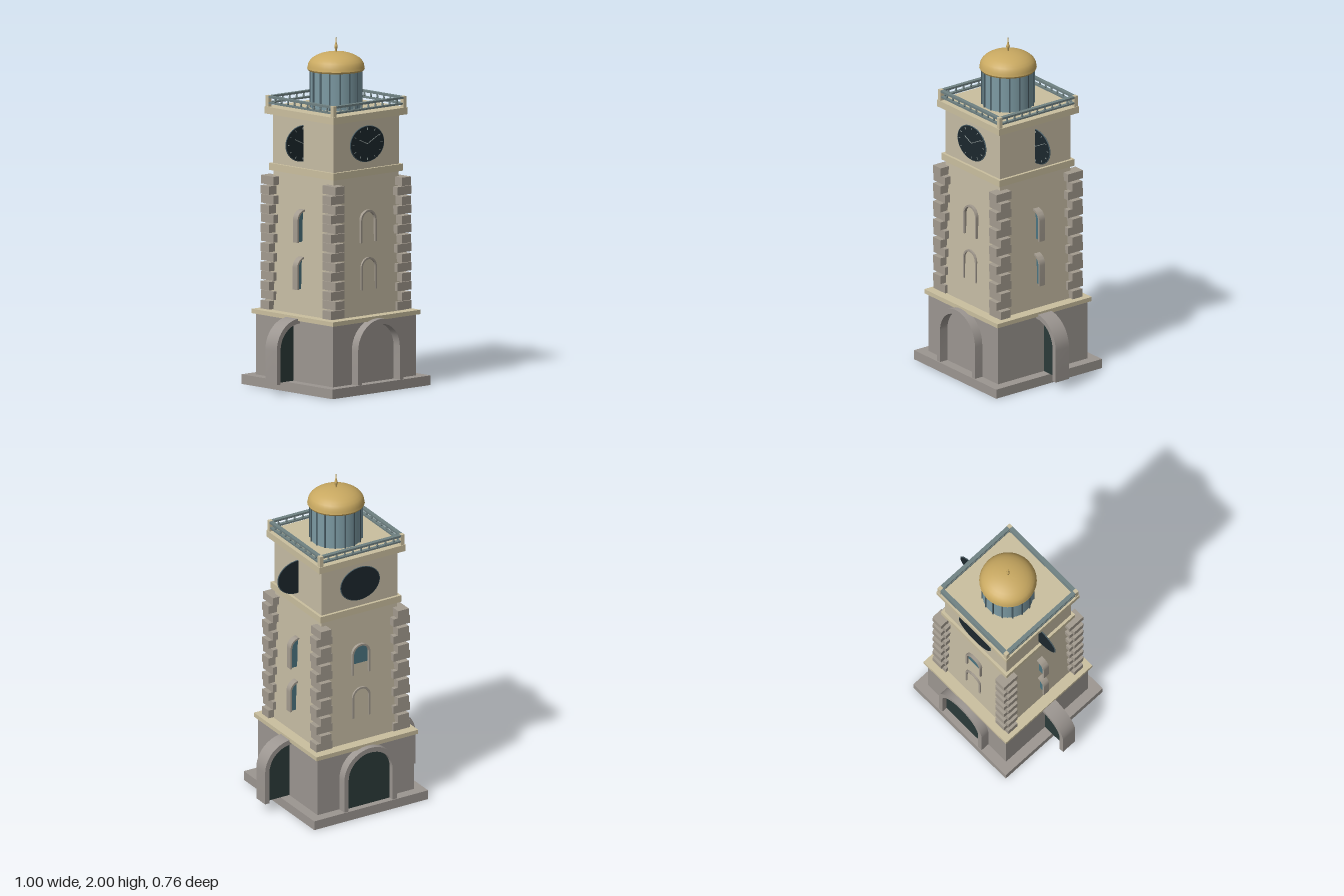
import * as THREE from 'three';
import { toCreasedNormals } from 'three/addons/utils/BufferGeometryUtils.js';

const mat = (color, side = THREE.FrontSide) => new THREE.MeshStandardMaterial({ color, side });
const MAT = {
  base: mat(0x9c9691), wall: mat(0xc6bca4), trim: mat(0xcabf9f), quoin: mat(0xa39b8f),
  rail: mat(0x6f8182), gold: mat(0xc9a961), glass: mat(0x7d9ba4), rib: mat(0x4c6068),
  dial: mat(0x1c272d), door: mat(0x2b3a39), pane: mat(0x4b7480), mark: mat(0x8f9a98),
};

export function createModel() {
  const root = new THREE.Group();
  root.name = 'clockTower';

  const add = (parent, name, geo, material, x = 0, y = 0, z = 0) => {
    const m = new THREE.Mesh(geo, material);
    m.name = name;
    m.position.set(x, y, z);
    parent.add(m);
    return m;
  };
  const group = (parent, name, x = 0, y = 0, z = 0) => {
    const g = new THREE.Group();
    g.name = name;
    g.position.set(x, y, z);
    parent.add(g);
    return g;
  };
  // Square slab given half width and y range
  const slab = (name, half, y0, y1, material) =>
    add(root, name, new THREE.BoxGeometry(half * 2, y1 - y0, half * 2), material, 0, (y0 + y1) / 2, 0);
  const lathe = (pts, seg) =>
    toCreasedNormals(new THREE.LatheGeometry(pts.map(p => new THREE.Vector2(...p)), seg), 0.6);

  // Stacked square masses
  slab('plinth', 0.378, 0, 0.055, MAT.base);
  slab('baseBlock', 0.32, 0.055, 0.41, MAT.base);
  slab('baseCornice', 0.337, 0.405, 0.43, MAT.trim);
  slab('belt', 0.268, 1.225, 1.265, MAT.trim);
  slab('clockStage', 0.252, 1.265, 1.55, MAT.wall);
  slab('topCornice', 0.286, 1.548, 1.588, MAT.trim);

  // Shaft, slightly narrower toward the top
  const shaft = new THREE.CylinderGeometry(0.25 * Math.SQRT2, 0.275 * Math.SQRT2, 0.8, 4, 1).rotateY(Math.PI / 4);
  add(root, 'shaft', toCreasedNormals(shaft, 0.3), MAT.wall, 0, 0.828, 0);

  // Corner quoins, alternating direction row by row
  const quoins = group(root, 'quoins');
  const quoinX = new THREE.BoxGeometry(0.107, 0.048, 0.07);
  const quoinZ = new THREE.BoxGeometry(0.07, 0.048, 0.107);
  for (const sx of [-1, 1]) for (const sz of [-1, 1]) for (let i = 0; i < 14; i++)
    add(quoins, 'quoin', i % 2 ? quoinZ : quoinX, MAT.quoin, sx * 0.2565, 0.459 + i * 0.0547, sz * 0.2565);

  // Arch outline: straight jambs and an elliptical head, foot at y = 0
  const archPoints = (rx, ry, spring) => {
    const pts = [new THREE.Vector2(rx, 0)];
    for (let i = 0; i <= 20; i++) {
      const a = Math.PI * i / 20;
      pts.push(new THREE.Vector2(rx * Math.cos(a), spring + ry * Math.sin(a)));
    }
    pts.push(new THREE.Vector2(-rx, 0));
    return pts;
  };
  const extrude = (pts, depth) => toCreasedNormals(
    new THREE.ExtrudeGeometry(new THREE.Shape(pts), { depth, bevelEnabled: false }).translate(0, 0, -depth / 2), 0.5);
  const archParts = (rx, ry, spring, band, depth, panelDepth) => ({
    frame: extrude([...archPoints(rx, ry, spring), ...archPoints(rx - band, ry - band, spring).reverse()], depth),
    panel: extrude(archPoints(rx - band, ry - band, spring), panelDepth),
  });

  // All arches and dials share one orientation on the four sides
  const sides = d => [[0, d], [0, -d], [d, 0], [-d, 0]];

  const doorGeo = archParts(0.175, 0.17, 0.19 + 0.003, 0.029, 0.095, 0.008);
  for (const [x, z] of sides(0.325)) {
    const door = group(root, 'doorway', x, 0.055, z);
    add(door, 'doorFrame', doorGeo.frame, MAT.base);
    add(door, 'doorPanel', doorGeo.panel, MAT.door, 0, 0, -0.012);
  }

  const windowGeo = archParts(0.06, 0.06, 0.125, 0.011, 0.04, 0.008);
  for (const [y, d] of [[0.575, 0.256], [0.845, 0.25 + 0.004]]) for (const [x, z] of sides(d)) {
    const win = group(root, 'window', x, y, z);
    add(win, 'windowFrame', windowGeo.frame, MAT.quoin);
    add(win, 'windowPane', windowGeo.panel, MAT.pane, 0, 0, -0.002);
  }

  // Oval clocks with ring, hour marks and hands
  const dialGeo = new THREE.CylinderGeometry(0.1, 0.1, 0.006, 40).rotateX(Math.PI / 2);
  const ringGeo = new THREE.TorusGeometry(0.1, 0.004, 6, 40);
  const hand = (parent, name, length, width, angle, start = 0) => {
    const geo = new THREE.BoxGeometry(width, length, 0.002).translate(0, start + length / 2, 0);
    add(parent, name, geo, MAT.mark, 0, 0, 0.0045).rotation.z = angle;
  };
  for (const [x, z] of sides(0.258)) {
    const clock = group(root, 'clock', x, 1.407, z);
    clock.scale.set(1.27, 1, 1);
    add(clock, 'clockDial', dialGeo, MAT.dial);
    add(clock, 'clockRing', ringGeo, MAT.rib).scale.z = 0.8;
    for (let i = 0; i < 12; i++) hand(clock, 'hourMark', 0.012, 0.003, i * Math.PI / 6, 0.08);
    hand(clock, 'hourHand', 0.055, 0.004, 1.05);
    hand(clock, 'minuteHand', 0.08, 0.003, -1.0);
  }

  // Balustrade around the roof deck
  const balustrade = group(root, 'balustrade');
  const baluster = lathe([[0.004, 0], [0.007, 0.007], [0.004, 0.018], [0.006, 0.027]], 8);
  for (let s = 0; s < 4; s++) {
    const run = group(balustrade, 'railSide');
    run.rotation.y = s * Math.PI / 2;
    add(run, 'bottomRail', new THREE.BoxGeometry(0.54, 0.01, 0.02), MAT.rail, 0, 1.61, 0.269);
    add(run, 'topRail', new THREE.BoxGeometry(0.54, 0.012, 0.024), MAT.rail, 0, 1.644, 0.269);
    add(run, 'cornerPost', new THREE.BoxGeometry(0.023, 0.064, 0.023), MAT.trim, 0.27, 1.62, 0.27);
    for (let i = 1; i < 10; i++) add(run, 'baluster', baluster, MAT.rail, -0.27 + i * 0.054, 1.613, 0.269);
  }

  // Glazed lantern with upright ribs
  const lantern = group(root, 'lantern', 0, 1.588, 0);
  add(lantern, 'lanternGlass', new THREE.CylinderGeometry(0.146, 0.146, 0.216, 32), MAT.glass, 0, 0.108, 0);
  for (let i = 0; i < 16; i++) {
    const a = (i + 0.5) * Math.PI / 8;
    add(lantern, 'lanternRib', new THREE.BoxGeometry(0.008, 0.214, 0.012), MAT.rib,
      Math.sin(a) * 0.146, 0.107, Math.cos(a) * 0.146).rotation.y = a;
  }

  // Dome and finial
  const dome = [[0, 1.798], [0.157, 1.798], [0.163, 1.808], [0.16, 1.822]];
  for (let i = 1; i <= 8; i++) {
    const a = i * Math.PI / 16;
    dome.push([Math.max(0, 0.16 * Math.cos(a)), 1.822 + 0.083 * Math.sin(a)]);
  }
  add(root, 'dome', lathe(dome, 32), MAT.gold);
  add(root, 'finial', lathe([[0.006, 1.9], [0.005, 1.915], [0.01, 1.93], [0.01, 1.937], [0.005, 1.95], [0, 2]], 12), MAT.gold);

  return root;
}
